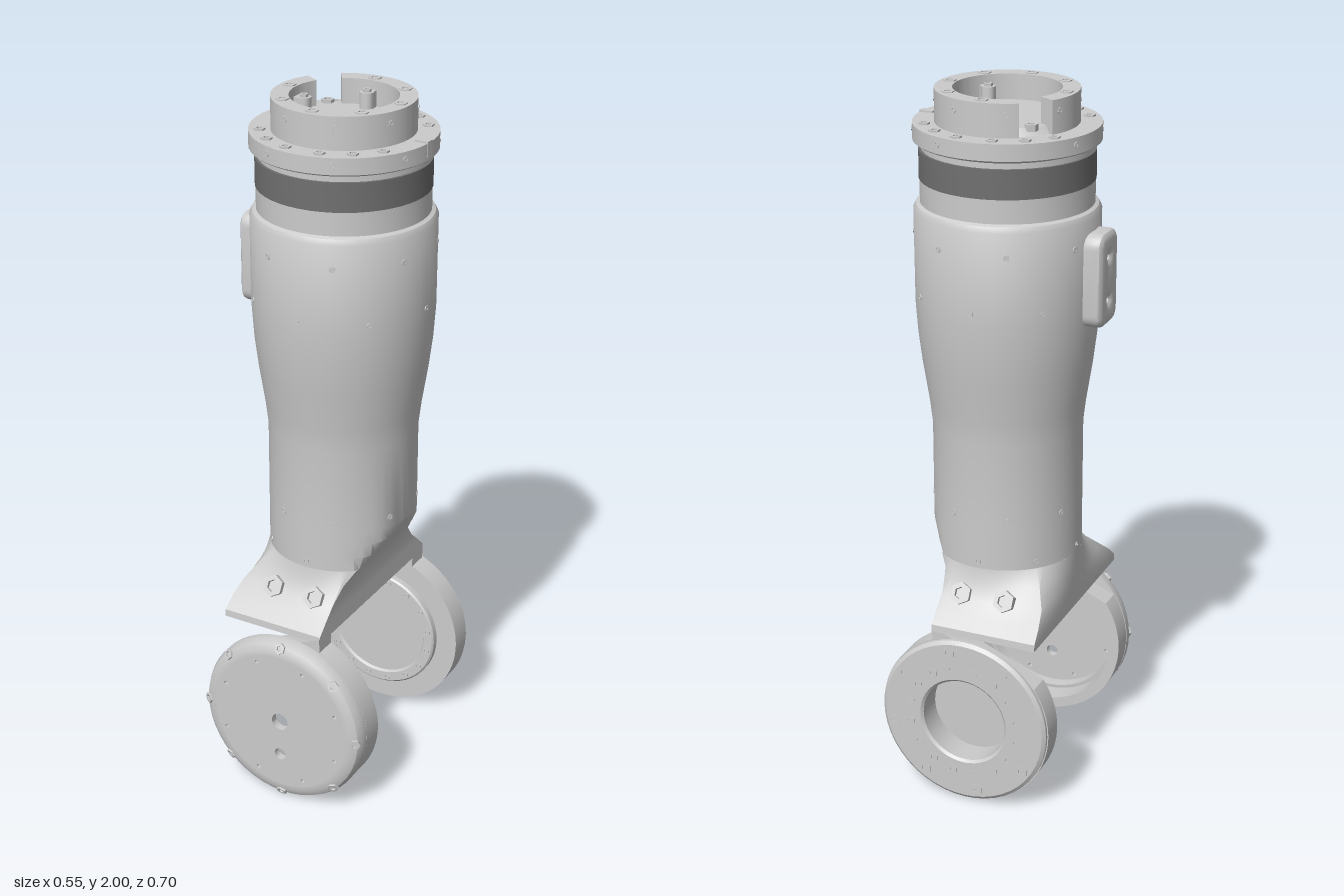
import * as THREE from 'three';
import { toCreasedNormals } from 'three/addons/utils/BufferGeometryUtils.js';

const CX = 0.02, CZ = -0.02, HUB = 0.26; // body axis and hub height
const grey = new THREE.MeshStandardMaterial({ color: 0xcccccc });
const dark = new THREE.MeshStandardMaterial({ color: 0x707070 });
const UP = new THREE.Vector3(0, 1, 0);

export function createModel() {
  const group = new THREE.Group();

  const add = (name, geo, x = 0, y = 0, z = 0, mat = grey) => {
    const mesh = new THREE.Mesh(toCreasedNormals(geo, 0.55), mat);
    mesh.name = name;
    mesh.position.set(x, y, z);
    group.add(mesh);
    return mesh;
  };
  const lathe = (pts, seg = 48) =>
    new THREE.LatheGeometry(pts.map(([r, y]) => new THREE.Vector2(r, y)), seg);
  const extrude = (shape, depth, extra = {}) =>
    new THREE.ExtrudeGeometry(shape, { depth, bevelEnabled: false, curveSegments: 48, ...extra });
  const circleHole = (shape, x, y, r) =>
    shape.holes.push(new THREE.Path().absarc(x, y, r, 0, Math.PI * 2, true));

  // Hexagonal socket screw, its head pointing along dir
  const screw = (name, r, h, pos, dir) => {
    const geo = lathe([[r, -h], [r, h], [r * 0.55, h], [r * 0.55, h * 0.1], [0, h * 0.1]], 6);
    add(name, geo, ...pos).quaternion.setFromUnitVectors(UP, new THREE.Vector3(...dir).normalize());
  };

  // Main housing, cut by a slanted plane at its lower left side
  const body = lathe([[0, 0.69], [0.21, 0.69], [0.21, 0.73], [0.21, 0.77], [0.21, 0.81], [0.21, 1.06],
    [0.218, 1.13], [0.235, 1.24], [0.246, 1.33], [0.252, 1.42], [0.253, 1.675], [0.245, 1.69],
    [0.235, 1.695], [0.235, 1.76], [0.22, 1.76]]);
  const p = body.attributes.position;
  for (let i = 0; i < p.count; i++) {
    const limit = 0.11 + (p.getY(i) - 0.65) * 0.625;
    if (p.getX(i) > limit) p.setX(i, limit);
  }
  add('housing', body, CX, 0, CZ);
  add('darkBand', lathe([[0.23, 1.76], [0.237, 1.76], [0.237, 1.84], [0.225, 1.84]]), CX, 0, CZ, dark);
  add('topFlange', lathe([[0.225, 1.835], [0.23, 1.84], [0.23, 1.855], [0.245, 1.86], [0.252, 1.865],
    [0.252, 1.91], [0.18, 1.91], [0.165, 1.93], [0, 1.93]]), CX, 0, CZ);

  // Open collar on the flange
  const gapA = THREE.MathUtils.degToRad(122), gapB = THREE.MathUtils.degToRad(150);
  const collar = new THREE.Shape();
  collar.absarc(0, 0, 0.193, gapB, gapA + Math.PI * 2, false);
  collar.absarc(0, 0, 0.145, gapA + Math.PI * 2, gapB, true);
  add('topCollar', extrude(collar, 0.09), CX, 1.91, CZ).rotation.x = -Math.PI / 2;
  for (let i = 0; i < 8; i++) {
    const a = i * Math.PI / 4, y = i === 3 ? 1.93 : 1.994;
    screw('collarScrew', 0.018, 0.009, [CX + 0.166 * Math.cos(a), y, CZ - 0.166 * Math.sin(a)], [0, 1, 0]);
  }
  // Locating lugs inside the collar
  for (const a of [90, 180, 318].map(THREE.MathUtils.degToRad)) {
    const x = CX + 0.122 * Math.cos(a), z = CZ - 0.122 * Math.sin(a);
    add('collarLug', new THREE.CylinderGeometry(0.02, 0.02, 0.05, 16), x, 1.95, z);
    add('lugWeb', new THREE.BoxGeometry(0.04, 0.05, 0.034),
      CX + 0.137 * Math.cos(a), 1.95, CZ - 0.137 * Math.sin(a)).rotation.y = a;
    screw('lugScrew', 0.012, 0.008, [x, 1.975, z], [0, 1, 0]);
  }
  // Flange screws and index key
  for (const d of [34, 55, 77]) for (const sx of [-1, 1]) for (const sz of [-1, 1]) {
    const a = THREE.MathUtils.degToRad(d);
    screw('flangeScrew', 0.016, 0.007, [CX + sx * 0.222 * Math.cos(a), 1.908, CZ + sz * 0.222 * Math.sin(a)], [0, 1, 0]);
  }
  add('indexKey', new THREE.BoxGeometry(0.04, 0.04, 0.024), 0.253, 1.895, CZ);

  // Rows of small screws around the housing and collar
  for (const [y, r, n, offset] of [[1.61, 0.253, 8, 0.5], [1.45, 0.252, 8, 0], [0.84, 0.21, 8, 0.5],
    [0.71, 0.21, 8, 0], [1.97, 0.193, 8, 0.5], [1.89, 0.252, 8, 0.5]]) {
    for (let i = 0; i < n; i++) {
      const a = (i + offset) * Math.PI * 2 / n, c = Math.cos(a), s = Math.sin(a);
      if (y < 0.8 && c > 0.6) continue;
      screw('sideScrew', 0.009, 0.002, [CX + r * c, y, CZ + r * s], [c, 0, s]);
    }
  }

  // Connector block on the right side, with two pockets
  const block = new THREE.Shape();
  block.moveTo(-0.045, -0.09).quadraticCurveTo(-0.045, -0.11, -0.025, -0.11);
  block.lineTo(0.025, -0.11).quadraticCurveTo(0.045, -0.11, 0.045, -0.09);
  block.lineTo(0.045, 0.09).quadraticCurveTo(0.045, 0.11, 0.025, 0.11);
  block.lineTo(-0.025, 0.11).quadraticCurveTo(-0.045, 0.11, -0.045, 0.09);
  for (const y of [-0.06, 0.06]) circleHole(block, 0, y, 0.028);
  add('connectorBlock', extrude(block, 0.035, { bevelEnabled: true, bevelSize: 0.02, bevelThickness: 0.015,
    bevelSegments: 3, curveSegments: 6 }), -0.225, 1.51, CZ).rotation.y = -Math.PI / 2;

  // Fork bridge: cross-sections change from a round top to a rectangular bottom
  const levels = [ // y, squareness, half depth, left limit
    [0.52, 1, 0.31, 0.1], [0.54, 1, 0.308, 0.1], [0.57, 0.95, 0.278, 0.1], [0.605, 0.8, 0.242, 0.1],
    [0.65, 0.35, 0.217, 0.11], [0.69, 0, 0.21, 0.135]];
  const bridge = new THREE.CylinderGeometry(1, 1, 1, 64, levels.length - 1);
  const q = bridge.attributes.position;
  for (let i = 0; i < q.count; i++) {
    const [y, sq, depth, limit] = levels[Math.round((q.getY(i) + 0.5) * (levels.length - 1))];
    const x = q.getX(i), z = q.getZ(i);
    const k = 1 + sq * (1 / Math.max(Math.abs(x), Math.abs(z), 0.001) - 1);
    const f = x === 0 && z === 0 ? 0 : k;
    q.setXYZ(i, Math.min(x * f * 0.21, limit), y, z * f * depth);
  }
  add('forkBridge', bridge, CX, 0, CZ);
  for (const s of [-1, 1]) for (const x of [-0.07, 0.06])
    screw('bridgeScrew', 0.032, 0.012, [x, 0.615, CZ + s * 0.236], [0, 0.6, s]);

  // Fork arms, each a round eye with a straight shank
  const arm = (name, hole, z) => {
    const s = new THREE.Shape();
    s.moveTo(-0.21, 0.275);
    s.absarc(0, 0, 0.253, Math.PI - Math.acos(0.21 / 0.253), Math.PI * 2 + Math.acos(0.1 / 0.253), false);
    s.lineTo(0.1, 0.275);
    circleHole(s, 0, 0, hole);
    add(name, extrude(s, 0.065), CX, HUB, z);
  };
  arm('frontArm', 0.222, 0.227);
  arm('backArm', 0.15, -0.328);

  // Front cover: bevelled rim and a drilled plate, hollow behind
  add('coverRim', lathe([[0.212, 0.29], [0.254, 0.294], [0.254, 0.315], [0.246, 0.333], [0.228, 0.344],
    [0.21, 0.344], [0.21, 0.32], [0.212, 0.29]]), CX, HUB, 0).rotation.x = Math.PI / 2;
  const plate = new THREE.Shape().absarc(0, 0, 0.213, 0, Math.PI * 2, false);
  circleHole(plate, 0, 0, 0.026);
  circleHole(plate, 0, -0.11, 0.018);
  for (let i = 0; i < 8; i++) {
    const a = (i + 0.5) * Math.PI / 4;
    circleHole(plate, 0.193 * Math.cos(a), 0.193 * Math.sin(a), 0.006);
    const b = i * Math.PI / 4, c = Math.cos(b), s = Math.sin(b);
    screw('coverScrew', 0.016, 0.006, [CX + 0.239 * c, HUB + 0.239 * s, 0.336], [c * 0.6, s * 0.6, 1]);
  }
  add('coverPlate', extrude(plate, 0.022, { curveSegments: 24 }), CX, HUB, 0.322);

  // Back drive flange: recessed centre outside, stepped boss inside
  add('driveFlange', lathe([[0, -0.262], [0.125, -0.262], [0.125, -0.338], [0.132, -0.345], [0.24, -0.345],
    [0.25, -0.337], [0.25, -0.328], [0.188, -0.328], [0.188, -0.245], [0.183, -0.24], [0.155, -0.24],
    [0.15, -0.248], [0, -0.248]]), CX, HUB, 0).rotation.x = Math.PI / 2;
  for (let i = 0; i < 16; i++) {
    const a = (i + 0.5) * Math.PI / 8, c = Math.cos(a), s = Math.sin(a);
    screw('driveScrew', 0.014, 0.003, [CX + 0.165 * c, HUB + 0.165 * s, -0.344], [0, 0, -1]);
    screw('bossScrew', 0.01, 0.003, [CX + 0.169 * c, HUB + 0.169 * s, -0.24], [0, 0, 1]);
    if (i % 2) screw('flangeRimScrew', 0.018, 0.003, [CX + 0.215 * c, HUB + 0.215 * s, -0.344], [0, 0, -1]);
  }

  return group;
}
